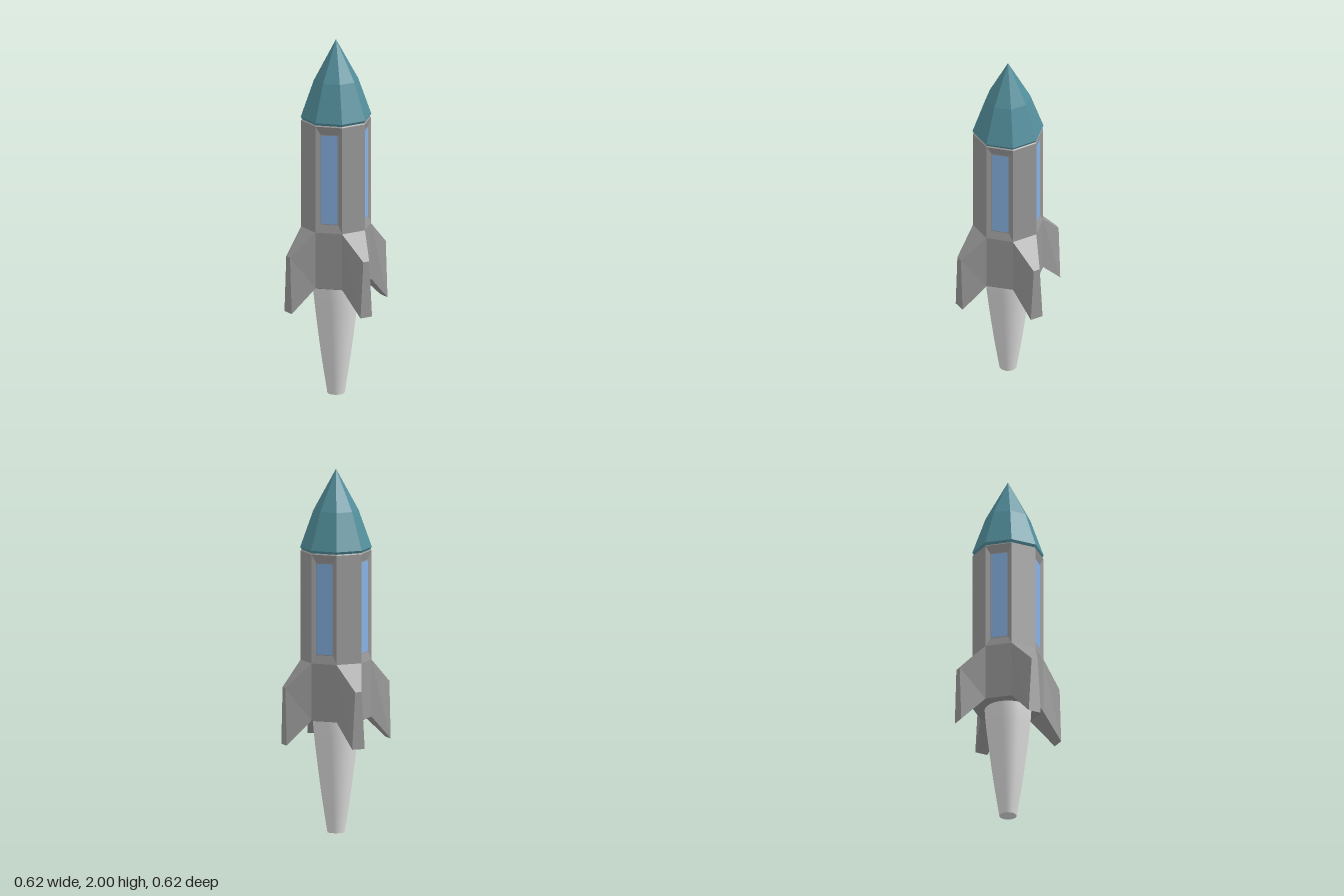
import * as THREE from 'three';

const hull = new THREE.MeshStandardMaterial({ color: 0x989898, flatShading: true });
hull.name = 'hull grey';
const teal = new THREE.MeshStandardMaterial({ color: 0x538f9c, flatShading: true });
teal.name = 'nose teal';
const glass = new THREE.MeshStandardMaterial({ color: 0x87b2e4 });
glass.name = 'window blue';
const pale = new THREE.MeshStandardMaterial({ color: 0xdedede });
pale.name = 'exhaust pale grey';

const R = 0.178;                         // distance from axis to a flat of the octagon
const H = R * Math.tan(Math.PI / 8);     // half the width of a flat
const BOTTOM = 0.635, WAIST = 0.95, TOP = 1.55;

// Point on side k: u across the face, height y, distance d from the axis
function point(k, u, y, d) {
  const a = k * Math.PI / 4, s = Math.sin(a), c = Math.cos(a);
  return [u * c + d * s, y, d * c - u * s];
}

// Mesh from quads, each with corners listed counter-clockwise from outside
function quadMesh(name, quads, material) {
  const g = new THREE.BufferGeometry();
  const pos = quads.flatMap(([a, b, c, d]) => [a, b, c, a, c, d].flat());
  g.setAttribute('position', new THREE.Float32BufferAttribute(pos, 3));
  g.computeVertexNormals();
  const m = new THREE.Mesh(g, material);
  m.name = name;
  return m;
}

// Corners of a panel symmetric about the middle of side k
const panel = (k, y0, w0, d0, y1, w1, d1) => [
  point(k, -w0, y0, d0), point(k, w0, y0, d0), point(k, w1, y1, d1), point(k, -w1, y1, d1),
];

// Quads joining an outer loop to an inner (or raised) loop of four corners
const bridge = (a, b) => [0, 1, 2, 3].map((i) => {
  const j = (i + 1) % 4;
  return [a[i], a[j], b[j], b[i]];
});

// Octagonal ring or disc with flats facing the axes
function octagon(name, rTop, rBottom, y0, y1, open, material) {
  const f = 1 / Math.cos(Math.PI / 8);
  const g = new THREE.CylinderGeometry(rTop * f, rBottom * f, y1 - y0, 8, 1, open);
  g.rotateY(Math.PI / 8).translate(0, (y0 + y1) / 2, 0);
  const m = new THREE.Mesh(g, material);
  m.name = name;
  return m;
}

function windowPane(k, d) {
  const w = 0.047, y0 = 1.0, y1 = 1.5, r = 0.012;
  const s = new THREE.Shape();
  s.moveTo(-w + r, y0);
  s.lineTo(w - r, y0).quadraticCurveTo(w, y0, w, y0 + r);
  s.lineTo(w, y1 - r).quadraticCurveTo(w, y1, w - r, y1);
  s.lineTo(-w + r, y1).quadraticCurveTo(-w, y1, -w, y1 - r);
  s.lineTo(-w, y0 + r).quadraticCurveTo(-w, y0, -w + r, y0);
  const m = new THREE.Mesh(new THREE.ShapeGeometry(s, 4).translate(0, 0, d), glass);
  m.rotation.y = k * Math.PI / 4;
  m.name = 'window';
  return m;
}

export function createModel() {
  const rocket = new THREE.Group();
  rocket.name = 'rocket';

  // Body sides: plain flats above the fins, recessed window bays between them
  const sides = [];
  for (let k = 0; k < 8; k++) {
    const upper = panel(k, WAIST, H, R, TOP, H, R);
    const lower = panel(k, BOTTOM, H, R, WAIST, H, R);
    if (k % 2 === 0) {
      sides.push(upper);
      // Fin: a tapering block swept down and out from the lower flat
      const tip = panel(k, 0.5, 0.037, 0.308, 0.815, 0.019, 0.308);
      rocket.add(quadMesh('fin', [...bridge(lower, tip), tip], hull));
    } else {
      const d = R - 0.012;
      const bay = panel(k, 0.995, 0.05, d, 1.505, 0.05, d);
      sides.push(lower, ...bridge(upper, bay), bay);
      rocket.add(windowPane(k, d + 0.002));
    }
  }
  rocket.add(quadMesh('body', sides, hull));
  rocket.add(octagon('bodyBase', R, R - 0.002, BOTTOM - 0.002, BOTTOM, false, hull));
  rocket.add(octagon('bodyCollar', R - 0.009, R, TOP, TOP + 0.009, false, hull));

  // Nose cone in two slopes over a thin undercut rim
  rocket.add(octagon('noseRim', 0.18, 0.172, 1.556, 1.57, false, teal));
  rocket.add(octagon('noseLower', 0.113, 0.18, 1.57, 1.775, true, teal));
  rocket.add(octagon('noseTip', 0, 0.113, 1.775, 2, true, teal));

  // Smooth tapering exhaust plume
  const curve = new THREE.SplineCurve([
    [0.047, 0], [0.078, 0.2], [0.104, 0.4], [0.122, 0.56], [0.128, 0.65],
  ].map(([x, y]) => new THREE.Vector2(x, y)));
  const plume = new THREE.Mesh(new THREE.LatheGeometry(curve.getPoints(16), 40), pale);
  plume.name = 'exhaust';
  const end = new THREE.Mesh(new THREE.CircleGeometry(0.047, 40).rotateX(Math.PI / 2), pale);
  end.name = 'exhaustEnd';
  rocket.add(plume, end);

  return rocket;
}
